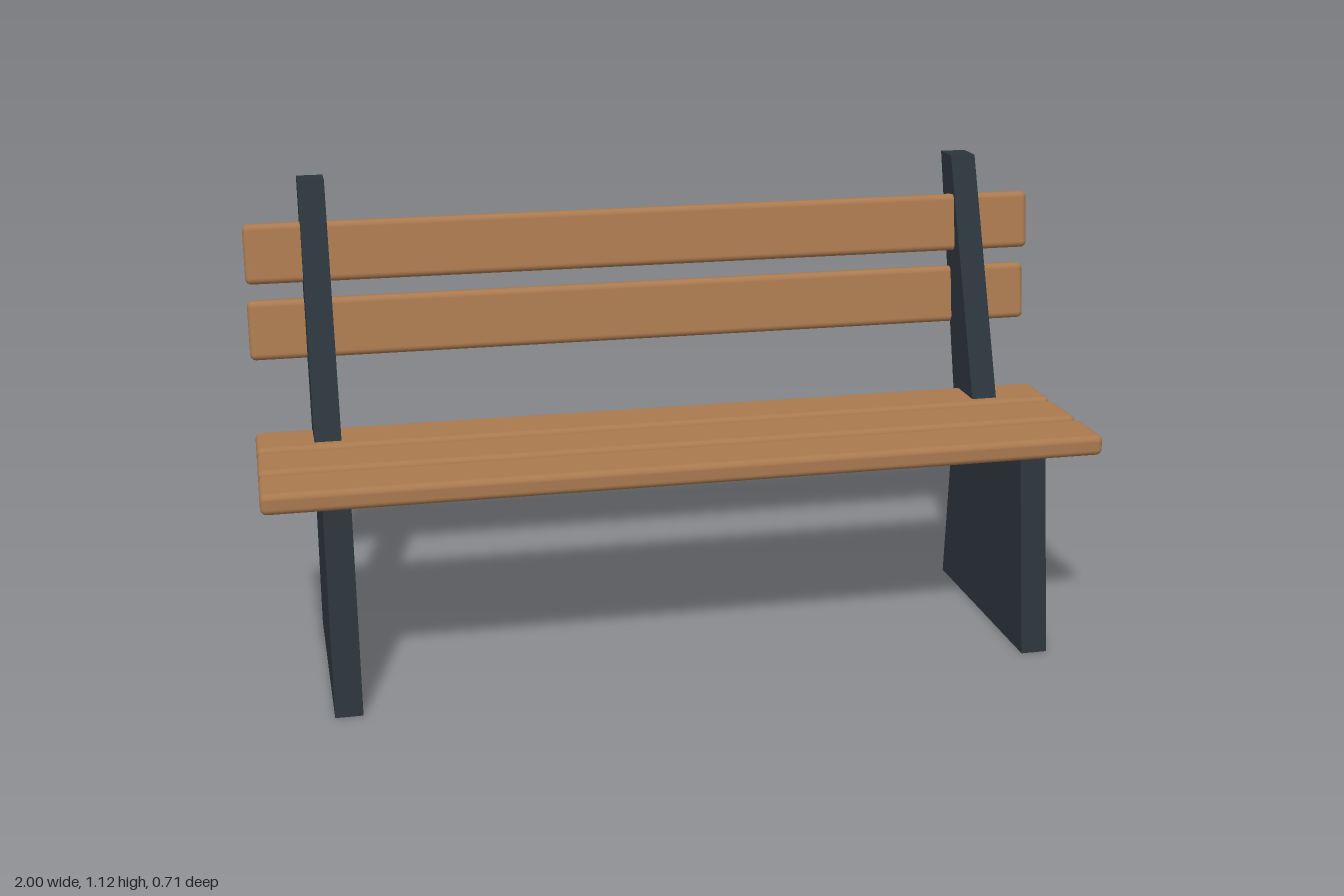
import * as THREE from 'three';
import { RoundedBoxGeometry } from 'three/addons/geometries/RoundedBoxGeometry.js';

export function createModel() {
  const bench = new THREE.Group();
  bench.name = 'bench';
  const wood = new THREE.MeshStandardMaterial({ color: 0xa9794f });
  wood.name = 'warm wood';
  const iron = new THREE.MeshStandardMaterial({ color: 0x2c353c });
  iron.name = 'dark iron';

  // Side frames: leg panel and leaning back post in one outline (z, y)
  const outline = [
    [0.355, 0], [0.277, 0.51], [-0.042, 0.51], [-0.279, 1.12],
    [-0.354, 1.12], [-0.175, 0.475], [-0.209, 0],
  ].map(([z, y]) => new THREE.Vector2(z, y));
  const thickness = 0.064;
  const frameGeometry = new THREE.ExtrudeGeometry(new THREE.Shape(outline), {
    depth: thickness, bevelEnabled: false,
  });
  frameGeometry.translate(0, 0, -thickness / 2);
  frameGeometry.rotateY(-Math.PI / 2);
  for (const side of [1, -1]) {
    const frame = new THREE.Mesh(frameGeometry, iron);
    frame.name = side > 0 ? 'leftFrame' : 'rightFrame';
    frame.position.x = side * 0.831;
    bench.add(frame);
  }

  // Rounded planks, lying flat for the seat and tilted for the backrest
  const plankGeometry = new RoundedBoxGeometry(2, 0.05, 0.145, 4, 0.015);
  const addPlank = (name, y, z, tilt) => {
    const plank = new THREE.Mesh(plankGeometry, wood);
    plank.name = name;
    plank.position.set(0, y, z);
    plank.rotation.x = tilt;
    bench.add(plank);
  };
  [0.238, 0.072, -0.093].forEach((z, i) => addPlank(`seatPlank${i + 1}`, 0.506, z, 0));
  addPlank('lowerBackPlank', 0.76, -0.261, Math.PI / 2 - 0.165);
  addPlank('upperBackPlank', 0.95, -0.26, Math.PI / 2 - 0.15);

  return bench;
}
